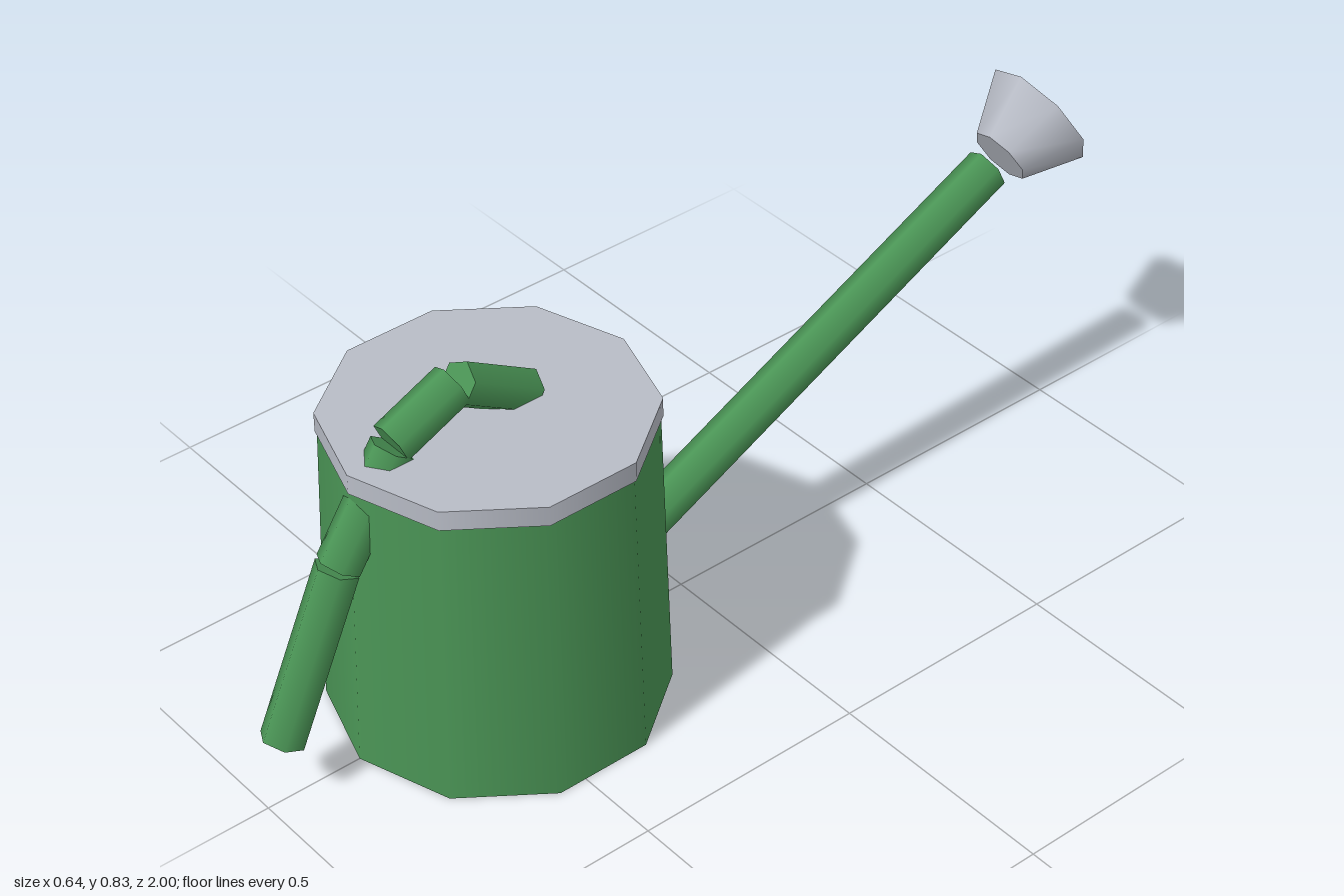
import * as THREE from 'three';

export function createModel() {
  const model = new THREE.Group();
  const green = new THREE.MeshStandardMaterial({ color: 0x4a9455 });
  green.name = 'green enamel';
  const grey = new THREE.MeshStandardMaterial({ color: 0xb8bcc6 });
  grey.name = 'grey metal';

  // Tapered tube in the x = 0 plane between two [z, y] points
  function tube(name, material, sides, [z0, y0], [z1, y1], r0, r1 = r0, parent = model) {
    const dz = z1 - z0, dy = y1 - y0;
    const geometry = new THREE.CylinderGeometry(r1, r0, Math.hypot(dz, dy), sides);
    const mesh = new THREE.Mesh(geometry, material);
    mesh.name = name;
    mesh.position.set(0, (y0 + y1) / 2, (z0 + z1) / 2);
    mesh.rotation.x = Math.atan2(dz, dy);
    parent.add(mesh);
  }

  // Ten-sided can with its lid
  const centre = 0.457;
  tube('body', green, 10, [centre, 0], [centre, 0.635], 0.334, 0.314);
  tube('lid', grey, 10, [centre, 0.63], [centre, 0.672], 0.318);

  // Spout and sprinkler rose at the back
  tube('spout', green, 6, [0.2, 0.155], [-0.8, 0.653], 0.046);
  tube('rose', grey, 8, [-0.832, 0.667], [-0.938, 0.724], 0.065, 0.125);

  // Handle arching from the front of the can over the lid
  const handle = new THREE.Group();
  handle.name = 'handle';
  model.add(handle);
  const segments = [
    [[0.957, 0.144], [0.81, 0.476]],
    [[0.807, 0.481], [0.674, 0.684]],
    [[0.676, 0.695], [0.535, 0.759]],
    [[0.524, 0.754], [0.369, 0.663]],
    [[0.382, 0.652], [0.31, 0.48]],
  ];
  segments.forEach(([a, b], i) => tube(`handleSegment${i + 1}`, green, 6, a, b, 0.045, 0.045, handle));

  return model;
}
